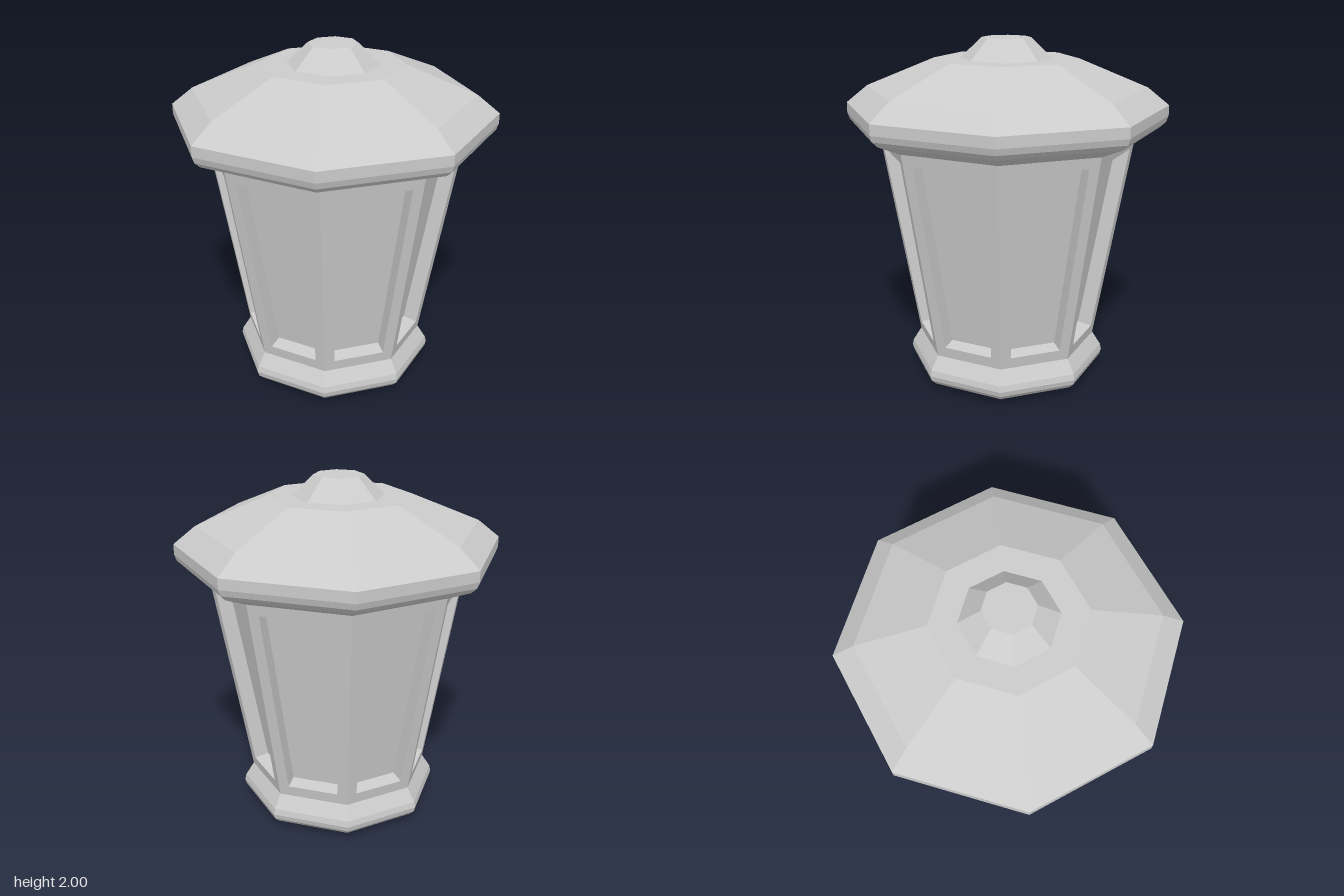
import * as THREE from 'three';

const SIDES = 8;
const material = new THREE.MeshStandardMaterial({ color: 0xcccccc, flatShading: true });

// Eight-sided turned part; profile is [corner radius, y] from bottom to top
function turned(name, profile) {
  const points = profile.map(([r, y]) => new THREE.Vector2(r, y));
  const mesh = new THREE.Mesh(new THREE.LatheGeometry(points, SIDES), material);
  mesh.name = name;
  return mesh;
}

// Flat-shaded geometry from quads, corners counter-clockwise seen from the front
function quadGeometry(quads) {
  const points = quads.flatMap(([a, b, c, d]) => [a, b, c, a, c, d]);
  const geometry = new THREE.BufferGeometry().setFromPoints(points);
  geometry.computeVertexNormals();
  return geometry;
}

// One side of the body, facing +z: a sloping frame around a recessed pane
function bodySide() {
  const bottom = { y: 0.215, r: 0.53 }, top = { y: 1.44, r: 0.74 };
  const margin = 0.06, depth = 0.085;
  const half = Math.PI / SIDES;
  const slope = Math.cos(half) * (top.r - bottom.r) / (top.y - bottom.y);
  const inward = new THREE.Vector3(0, slope, -1).normalize().multiplyScalar(depth);

  // Trapezoid on the sloping plane between two heights
  const loop = (y0, y1, inset) => [[-1, y0], [1, y0], [1, y1], [-1, y1]].map(([s, y]) => {
    const r = THREE.MathUtils.mapLinear(y, bottom.y, top.y, bottom.r, top.r);
    return new THREE.Vector3(s * (r * Math.sin(half) - inset), y, r * Math.cos(half));
  });
  const outer = loop(bottom.y, top.y, 0);
  const opening = loop(0.28, 1.38, margin);
  const recessed = opening.map((p) => p.clone().add(inward));
  const bridge = (a, b) => a.map((p, i) => {
    const j = (i + 1) % 4;
    return [p, a[j], b[j], b[i]];
  });
  return {
    frame: quadGeometry([...bridge(outer, opening), ...bridge(opening, recessed)]),
    pane: quadGeometry([recessed]),
  };
}

export function createModel() {
  const lantern = new THREE.Group();
  lantern.name = 'lantern';

  // Base with a rounded moulding
  lantern.add(turned('base', [
    [0, 0], [0.41, 0], [0.55, 0.04], [0.58, 0.07], [0.588, 0.1], [0.58, 0.135], [0.53, 0.215], [0, 0.215],
  ]));

  // Tapered body with eight recessed panes, corners on the axes
  const side = bodySide();
  for (let i = 0; i < SIDES; i++) {
    const panel = new THREE.Group();
    panel.name = 'bodySide' + (i + 1);
    panel.rotation.y = (i + 0.5) * 2 * Math.PI / SIDES;
    for (const part of ['frame', 'pane']) {
      const mesh = new THREE.Mesh(side[part], material);
      mesh.name = part;
      panel.add(mesh);
    }
    lantern.add(panel);
  }

  // Overhanging roof and its cap
  lantern.add(turned('roof', [
    [0, 1.44], [0.74, 1.44], [0.88, 1.5], [0.912, 1.53], [0.924, 1.565], [0.924, 1.625],
    [0.8, 1.725], [0.41, 1.885], [0, 1.885],
  ]));
  lantern.add(turned('cap', [[0.26, 1.885], [0.14, 2], [0, 2]]));

  return lantern;
}
